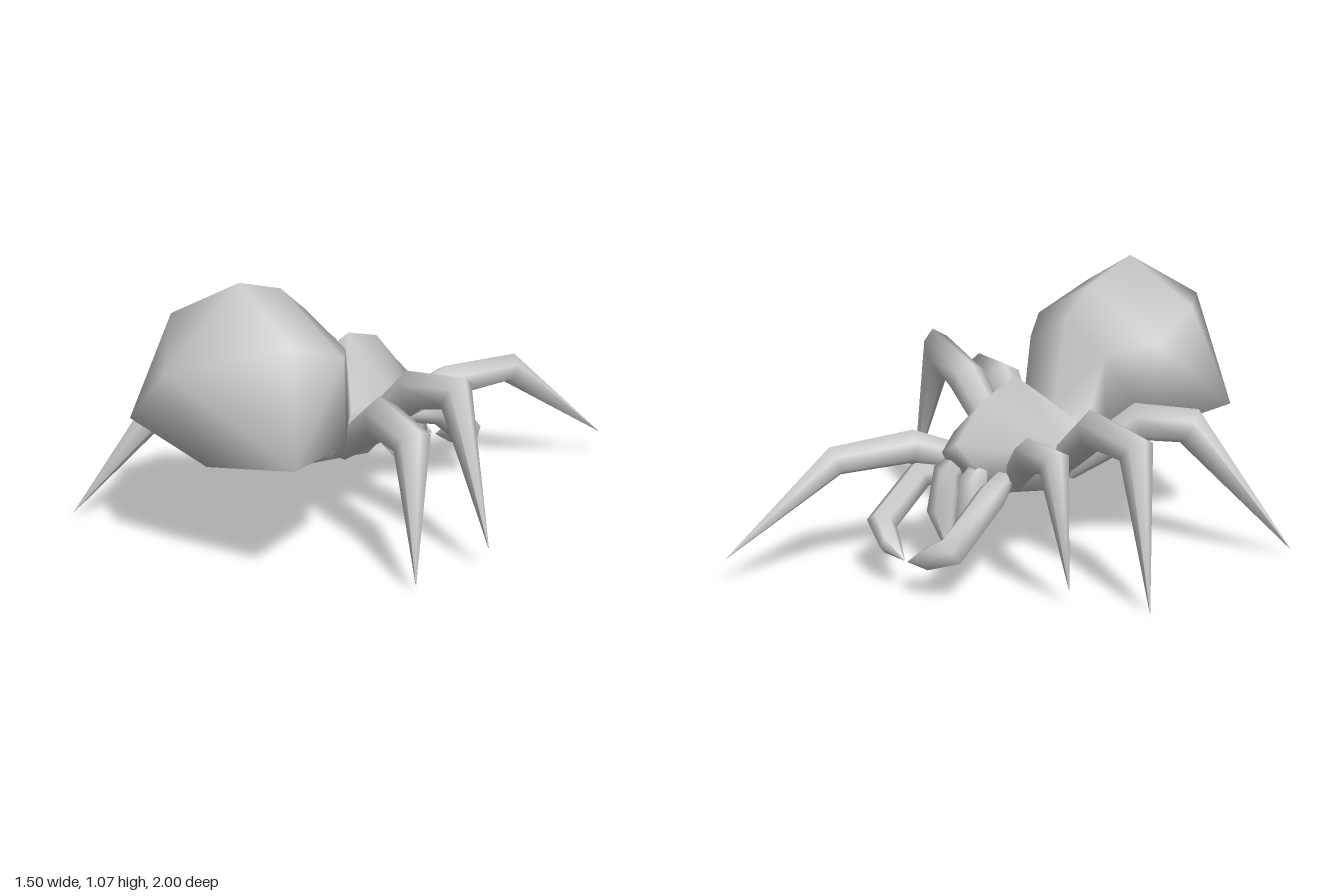
import * as THREE from 'three';
import { mergeVertices } from 'three/addons/utils/BufferGeometryUtils.js';

const material = new THREE.MeshStandardMaterial({ color: 0xcccccc });

// Skin a list of rings (arrays of Vector3, counter-clockwise about the path direction);
// the quads split in mirror image on the two halves of a ring
function loft(rings) {
  const n = rings[0].length;
  const positions = rings.flat().flatMap(p => [p.x, p.y, p.z]);
  const index = [];
  for (let i = 0; i < rings.length - 1; i++) {
    for (let j = 0; j < n; j++) {
      const a = i * n + j, b = i * n + (j + 1) % n;
      if (j < n / 2) index.push(a, b, a + n, b, b + n, a + n);
      else index.push(a, b, b + n, a, b + n, a + n);
    }
  }
  let g = new THREE.BufferGeometry();
  g.setAttribute('position', new THREE.Float32BufferAttribute(positions, 3));
  g.setIndex(index);
  g = mergeVertices(g, 1e-4);
  g.computeVertexNormals();
  return g;
}

// Jointed limb: tapered tube through a few joints, mitred at each bend
function limb(joints, radii, sides = 6) {
  const pts = joints.map(p => new THREE.Vector3(...p));
  const last = pts.length - 1;
  const normal = pts[last].clone().sub(pts[0]).cross(new THREE.Vector3(0, 1, 0)).normalize();
  const rings = pts.map((p, i) => {
    const before = p.clone().sub(pts[Math.max(i - 1, 0)]).normalize();
    const after = pts[Math.min(i + 1, last)].clone().sub(p).normalize();
    const t = before.clone().add(after).normalize();
    const mitre = i > 0 && i < last ? Math.min(1.35, 1 / t.dot(after)) : 1;
    const u = normal.clone().addScaledVector(t, -normal.dot(t)).normalize();
    const v = t.clone().cross(u);
    return Array.from({ length: sides }, (_, k) => {
      const a = (k + 0.5) / sides * Math.PI * 2;
      return p.clone()
        .addScaledVector(u, Math.cos(a) * radii[i])
        .addScaledVector(v, Math.sin(a) * radii[i] * mitre);
    });
  });
  return loft(rings);
}

export function createModel() {
  const model = new THREE.Group();
  const add = (name, geometry) => {
    const mesh = new THREE.Mesh(geometry, material);
    mesh.name = name;
    model.add(mesh);
  };

  // Body sections, rear to head: top y,z | upper side x,y,z | lower side x,y,z | bottom y,z
  const sections = [
    [0.86, 1.0, 0, 0.86, 1.0, 0, 0.86, 1.0, 0.86, 1.0],
    [1.08, 0.61, 0.28, 0.92, 0.66, 0.385, 0.53, 0.78, 0.45, 0.8],
    [1.0, 0.39, 0.32, 0.82, 0.43, 0.32, 0.49, 0.42, 0.4, 0.42],
    [0.89, 0.26, 0.2, 0.78, 0.27, 0.21, 0.49, 0.27, 0.38, 0.36],
    [0.57, 0.2, 0.17, 0.51, 0.2, 0.14, 0.36, 0.22, 0.28, 0.29],
    [0.72, 0, 0.25, 0.5, 0.01, 0.14, 0.29, 0.06, 0.26, 0.14],
    [0.66, -0.17, 0.16, 0.5, -0.17, 0.11, 0.32, -0.13, 0.275, -0.13],
    [0.52, -0.3, 0.08, 0.47, -0.3, 0.08, 0.36, -0.24, 0.34, -0.2],
    [0.44, -0.28, 0, 0.44, -0.28, 0, 0.44, -0.28, 0.44, -0.28],
  ];
  const V = (x, y, z) => new THREE.Vector3(x, y, z);
  add('body', loft(sections.map(([ty, tz, ux, uy, uz, lx, ly, lz, by, bz]) => [
    V(0, ty, tz), V(ux, uy, uz), V(lx, ly, lz),
    V(0, by, bz), V(-lx, ly, lz), V(-ux, uy, uz),
  ])));

  // Walking legs, each in its own stride pose: root, hip, knee, tip, then thickness at root, hip, knee
  const legs = {
    frontLegPlusX: [[0.09, 0.37, -0.08], [0.21, 0.47, -0.34], [0.3, 0.46, -0.63], [0.49, 0.12, -1.0], 0.05, 0.065, 0.055],
    frontLegMinusX: [[-0.09, 0.36, -0.09], [-0.3, 0.53, -0.21], [-0.5, 0.57, -0.29], [-0.5, 0.07, -0.21], 0.05, 0.065, 0.055],
    middleLegPlusX: [[0.1, 0.34, 0.07], [0.37, 0.61, 0.09], [0.6, 0.67, 0.15], [0.75, 0.11, 0.14], 0.05, 0.072, 0.062],
    middleLegMinusX: [[-0.1, 0.34, 0.06], [-0.4, 0.6, 0.01], [-0.65, 0.59, -0.03], [-0.75, 0.01, -0.05], 0.05, 0.072, 0.062],
    backLegPlusX: [[0.1, 0.34, 0.17], [0.37, 0.56, 0.28], [0.56, 0.54, 0.35], [0.65, 0.05, 0.44], 0.05, 0.075, 0.068],
    backLegMinusX: [[-0.1, 0.34, 0.17], [-0.32, 0.54, 0.34], [-0.46, 0.53, 0.46], [-0.74, 0.04, 0.74], 0.05, 0.072, 0.068],
  };
  for (const [name, spec] of Object.entries(legs)) {
    add(name, limb(spec.slice(0, 4), [...spec.slice(4), 0.001]));
  }

  // Feelers curling inward and fangs under the head
  for (const s of [1, -1]) {
    const mirror = joints => joints.map(([x, y, z]) => [s * x, y, z]);
    const side = s > 0 ? 'left' : 'right';
    add(side + 'Feeler', limb(
      mirror([[0.09, 0.38, -0.14], [0.19, 0.36, -0.31], [0.195, 0.21, -0.5], [0.1, 0.165, -0.54], [0.01, 0.13, -0.55]]),
      [0.04, 0.055, 0.055, 0.042, 0.002]));
    add(side + 'Fang', limb(
      mirror([[0.05, 0.45, -0.22], [0.07, 0.39, -0.28], [0.075, 0.24, -0.3], [0.012, 0.085, -0.33]]),
      [0.03, 0.055, 0.062, 0.002]));
  }
  return model;
}
